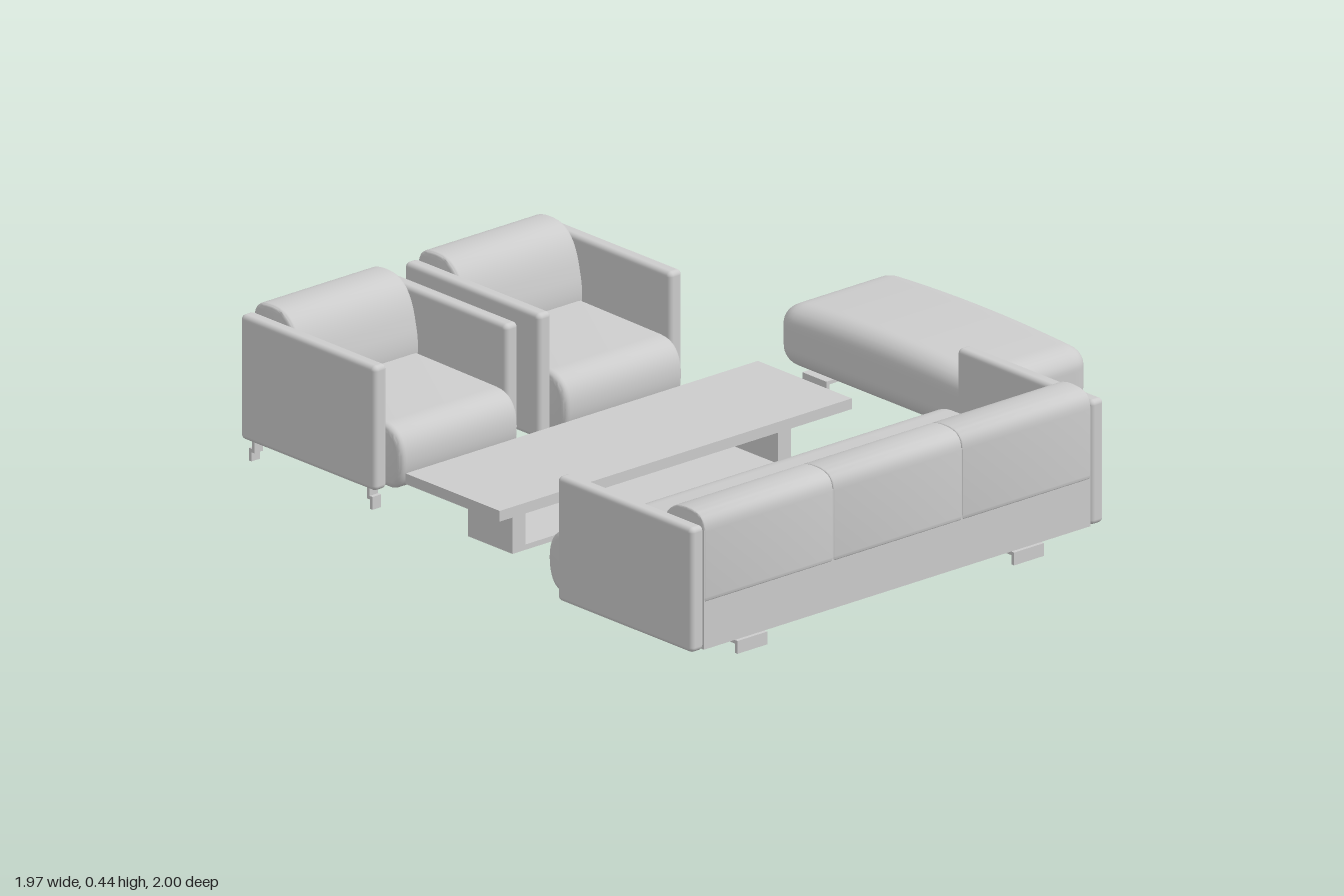
import * as THREE from 'three';
import { RoundedBoxGeometry } from 'three/addons/geometries/RoundedBoxGeometry.js';
import { mergeVertices, toCreasedNormals } from 'three/addons/utils/BufferGeometryUtils.js';

const grey = new THREE.MeshStandardMaterial({ color: 0xcccccc });

function add(parent, name, geometry, x = 0, y = 0, z = 0) {
  const mesh = new THREE.Mesh(geometry, grey);
  mesh.name = name;
  mesh.position.set(x, y, z);
  parent.add(mesh);
  return mesh;
}

// Box given by its minimum and maximum corners
function block(parent, name, [x0, y0, z0], [x1, y1, z1]) {
  return add(parent, name, new THREE.BoxGeometry(x1 - x0, y1 - y0, z1 - z0),
    (x0 + x1) / 2, (y0 + y1) / 2, (z0 + z1) / 2);
}

// Upholstery: an x-y profile swept along z, with soft ends
function sweep(shape, length, soft) {
  const geometry = new THREE.ExtrudeGeometry(shape, {
    depth: length - 2 * soft, curveSegments: 10, bevelEnabled: true,
    bevelThickness: soft, bevelSize: soft, bevelOffset: -soft, bevelSegments: 4,
  });
  geometry.translate(0, 0, soft - length / 2);
  return toCreasedNormals(geometry, 0.7);
}

// Seat profile with a rolled front edge
function seatShape(back, front) {
  const s = new THREE.Shape();
  s.moveTo(back, 0.055);
  s.lineTo(front - 0.05, 0.055);
  s.bezierCurveTo(front - 0.02, 0.055, front, 0.09, front, 0.14);
  s.bezierCurveTo(front, 0.2, front - 0.03, 0.23, front - 0.08, 0.232);
  s.lineTo(back, 0.238);
  s.closePath();
  return s;
}

// Back cushion profile: upright outside, rounded top, swelling towards the seat
function backShape() {
  const s = new THREE.Shape();
  s.moveTo(0.02, 0.18);
  s.lineTo(0.17, 0.18);
  s.bezierCurveTo(0.2, 0.21, 0.195, 0.27, 0.185, 0.31);
  s.bezierCurveTo(0.17, 0.39, 0.14, 0.437, 0.075, 0.437);
  s.bezierCurveTo(0.03, 0.437, 0, 0.43, 0, 0.385);
  s.lineTo(0, 0.2);
  s.quadraticCurveTo(0, 0.18, 0.02, 0.18);
  return s;
}

// Bent metal foot of a given width; dir points towards the middle of the seat
function bentLeg(parent, x, z, width, reach, dir) {
  const s = new THREE.Shape();
  const points = [[0, 0], [0.01, 0], [0.01, 0.026], [reach, 0.026], [reach, 0.058],
    [reach - 0.01, 0.058], [reach - 0.01, 0.036], [0, 0.036]];
  s.setFromPoints(points.map(([px, py]) => new THREE.Vector2(px, py)));
  const geometry = new THREE.ExtrudeGeometry(s, { depth: width, bevelEnabled: false });
  geometry.translate(0, 0, -width / 2);
  if (dir < 0) geometry.rotateY(Math.PI);
  add(parent, 'leg', geometry, x, 0, z);
}

// Armchair or sofa: back at x = 0, seat opening towards +x, centred on z
function seating(name, { half, armLength, seatBack, seatFront, cushions, legZ, legWidth, legReach }) {
  const group = new THREE.Group();
  group.name = name;
  const arm = 0.046;
  block(group, 'backPanel', [0.002, 0.055, -half], [0.03, 0.39, half]);
  add(group, 'seat', sweep(seatShape(seatBack, seatFront), 2 * half, 0.018));
  const width = 2 * half / cushions;
  for (let i = 0; i < cushions; i++) {
    add(group, 'backCushion', sweep(backShape(), width, cushions > 1 ? 0.006 : 0.012),
      0, 0, -half + (i + 0.5) * width);
  }
  for (const side of [-1, 1]) {
    add(group, 'arm', new RoundedBoxGeometry(armLength, 0.35, arm, 4, 0.014),
      armLength / 2, 0.23, side * (half + arm / 2));
    bentLeg(group, 0.028, side * legZ, legWidth, legReach, 1);
    bentLeg(group, armLength - 0.015, side * legZ, legWidth, legReach, -1);
  }
  return group;
}

// Rounded, slightly domed cushion made from a dense box
function pouf(w, h, d, r) {
  let geometry = new THREE.BoxGeometry(w, h, d, 48, 20, 32);
  const p = geometry.attributes.position;
  const v = new THREE.Vector3(), inner = new THREE.Vector3();
  const limit = new THREE.Vector3(w / 2 - r, h / 2 - r, d / 2 - r);
  for (let i = 0; i < p.count; i++) {
    v.fromBufferAttribute(p, i);
    inner.copy(v).clamp(limit.clone().negate(), limit);
    v.sub(inner).normalize().multiplyScalar(r).add(inner);
    if (v.y > 0) v.y -= 0.016 * (v.y / (h / 2)) * (2 * v.x / w) ** 2;
    p.setXYZ(i, v.x, v.y, v.z);
  }
  geometry.deleteAttribute('uv');
  geometry.deleteAttribute('normal');
  geometry = mergeVertices(geometry, 1e-5);
  geometry.computeVertexNormals();
  return geometry;
}

export function createModel() {
  const model = new THREE.Group();
  model.name = 'loungeSet';

  // Two armchairs facing the table
  for (const z of [-0.01, 0.568]) {
    const chair = seating('armchair', {
      half: 0.208, armLength: 0.53, seatBack: 0.06, seatFront: 0.585, cushions: 1,
      legZ: 0.232, legWidth: 0.03, legReach: 0.022,
    });
    chair.position.set(-0.985, 0, z);
    model.add(chair);
  }

  // Three-seat sofa on the other side
  const sofa = seating('sofa', {
    half: 0.681, armLength: 0.53, seatBack: 0.025, seatFront: 0.62, cushions: 3,
    legZ: 0.487, legWidth: 0.105, legReach: 0.06,
  });
  sofa.rotation.y = Math.PI;
  sofa.position.set(0.985, 0, 0.268);
  model.add(sofa);

  // Ottoman behind the table
  const ottoman = new THREE.Group();
  ottoman.name = 'ottoman';
  ottoman.position.set(-0.062, 0, -0.795);
  add(ottoman, 'cushion', pouf(0.795, 0.187, 0.41, 0.06), 0, 0.146, 0);
  for (const side of [-1, 1]) {
    const feet = new THREE.Group();
    feet.name = 'feet';
    feet.rotation.y = Math.PI / 2;
    feet.position.x = side * 0.292;
    bentLeg(feet, -0.158, 0, 0.095, 0.06, 1);
    bentLeg(feet, 0.158, 0, 0.095, 0.06, -1);
    ottoman.add(feet);
  }
  model.add(ottoman);

  // Long low table: top, two end supports and a floor shelf
  const table = new THREE.Group();
  table.name = 'coffeeTable';
  block(table, 'tableTop', [-0.245, 0.158, -0.34], [0.125, 0.188, 0.9]);
  block(table, 'endSupport', [-0.145, 0.007, -0.21], [0.03, 0.158, -0.165]);
  block(table, 'endSupport', [-0.145, 0.007, 0.725], [0.03, 0.158, 0.77]);
  block(table, 'shelf', [-0.145, 0.007, -0.165], [0.03, 0.022, 0.725]);
  model.add(table);

  return model;
}
